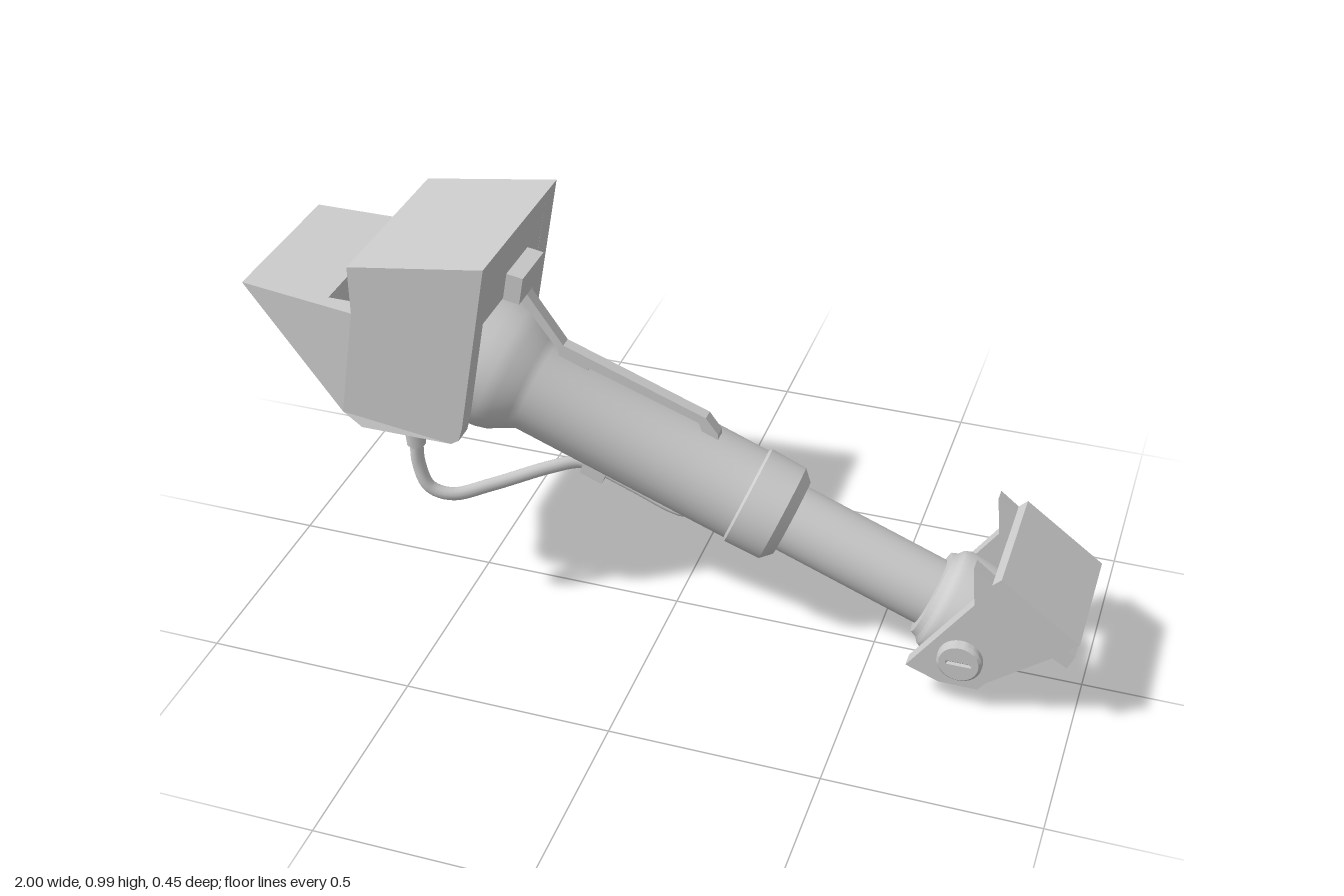
import * as THREE from 'three';
import { toCreasedNormals } from 'three/addons/utils/BufferGeometryUtils.js';

const material = new THREE.MeshStandardMaterial({ color: 0xcccccc });
const PIN = new THREE.Vector3(0.735, 0.15, 0);
const TILT = 1.1955; // lean of the piston axis, turned from +y towards -x

function add(parent, name, geometry) {
  const mesh = new THREE.Mesh(geometry, material);
  mesh.name = name;
  parent.add(mesh);
  return mesh;
}

// Side profile in x, y extruded from z0 to z1
function slab(points, z0, z1) {
  const shape = new THREE.Shape(points.map(([x, y]) => new THREE.Vector2(x, y)));
  return new THREE.ExtrudeGeometry(shape, { depth: z1 - z0, bevelEnabled: false }).translate(0, 0, z0);
}

// Profile of [radius, distance along the axis from the pin]
function turned(points) {
  const lathe = new THREE.LatheGeometry(points.map(([r, s]) => new THREE.Vector2(r, s)), 40);
  return toCreasedNormals(lathe, 0.5).rotateZ(TILT).translate(PIN.x, PIN.y, PIN.z);
}

function hose(points, radius) {
  const curve = new THREE.CatmullRomCurve3(points.map((p) => new THREE.Vector3(...p)));
  return new THREE.TubeGeometry(curve, 48, radius, 12, false);
}

function createUpperBracket() {
  const group = new THREE.Group();
  group.name = 'upperBracket';
  const side = [[-1, 0.83], [-0.7, 0.83], [-0.7, 0.95], [-0.37, 1], [-0.445, 0.57],
    [-0.455, 0.535], [-0.475, 0.522], [-0.7, 0.522], [-0.75, 0.55]];
  add(group, 'rightCheek', slab(side, -0.225, -0.16));

  // The front cheek thins towards the tip
  const front = slab(side, 0.175, 0.225);
  const pos = front.attributes.position;
  for (let i = 0; i < pos.count; i++) {
    if (pos.getZ(i) > 0.2) pos.setZ(i, 0.225 - 0.05 * Math.max(0, (-0.7 - pos.getX(i)) / 0.3));
  }
  front.computeVertexNormals();
  add(group, 'frontCheek', front);

  add(group, 'topBlock', slab([[-0.7, 0.83], [-0.4, 0.83], [-0.37, 1], [-0.7, 0.95]], -0.16, 0.175));
  add(group, 'tipWedge', slab([[-1, 0.83], [-0.78, 0.584], [-0.78, 0.83]], -0.16, 0.175));
  return group;
}

function createPiston() {
  const group = new THREE.Group();
  group.name = 'piston';
  add(group, 'barrel', turned([[0, 0.6], [0.115, 0.6], [0.117, 1.16], [0.127, 1.18], [0.15, 1.22],
    [0.158, 1.25], [0.16, 1.29], [0.16, 1.49], [0.15, 1.52], [0.125, 1.535], [0, 1.54]]));
  add(group, 'collar', turned([[0, 0.485], [0.095, 0.485], [0.12, 0.51], [0.122, 0.6], [0.115, 0.606], [0, 0.606]]));
  add(group, 'rod', turned([[0.083, 0.08], [0.083, 0.5]]));
  add(group, 'rodEnd', turned([[0, -0.125], [0.05, -0.12], [0.09, -0.108], [0.118, -0.088], [0.123, -0.05],
    [0.128, 0.075], [0.122, 0.09], [0.11, 0.1], [0.104, 0.115], [0.083, 0.118]]));
  return group;
}

function createLowerBracket() {
  const group = new THREE.Group();
  group.name = 'lowerBracket';
  const cheek = [[0.746, 0.41], [0.79, 0.375], [0.81, 0.395], [0.997, 0.257], [0.97, 0.235], [0.99, 0.22],
    [0.975, 0.185], [0.94, 0.205], [0.8, 0.095], [0.78, 0.07], [0.69, 0.07], [0.61, 0.1], [0.755, 0.31]];
  add(group, 'frontCheek', slab(cheek, 0.13, 0.167));
  add(group, 'rearCheek', slab(cheek, -0.147, -0.115));
  add(group, 'coverPanel', slab([[0.81, 0.395], [0.997, 0.257], [0.97, 0.235], [0.99, 0.22], [0.975, 0.185],
    [0.94, 0.205], [0.925, 0.25], [0.805, 0.34], [0.79, 0.375]], -0.115, 0.13));

  // Pivot with a slotted head at each end
  add(group, 'pivotPin', new THREE.CylinderGeometry(0.05, 0.05, 0.32, 32).rotateX(Math.PI / 2)
    .translate(PIN.x, PIN.y, 0.01));
  const headShape = new THREE.Shape().absarc(0, 0, 0.046, 0, Math.PI * 2);
  const slot = [[-0.03, -0.005], [-0.03, 0.005], [0.03, 0.005], [0.03, -0.005]];
  headShape.holes.push(new THREE.Path(slot.map(([x, y]) => new THREE.Vector2(x, y))));
  for (const [name, z] of [['frontPinHead', 0.167], ['rearPinHead', -0.147]]) {
    const head = new THREE.ExtrudeGeometry(headShape, {
      depth: 0.014, curveSegments: 24, bevelThickness: 0.007, bevelSize: 0.007, bevelOffset: 0, bevelSegments: 1,
    });
    const mesh = add(group, name, toCreasedNormals(head, 0.5));
    mesh.position.set(PIN.x, PIN.y, z);
    if (z < 0) mesh.rotation.y = Math.PI;
  }
  return group;
}

function createFittings() {
  const group = new THREE.Group();
  group.name = 'fittings';
  // Bent strip along the top of the barrel and its clip
  add(group, 'topStrip', slab([[-0.37, 0.845], [-0.272, 0.705], [0.075, 0.575], [0.105, 0.535], [0.105, 0.51],
    [0.07, 0.525], [0.058, 0.558], [-0.21, 0.655], [-0.22, 0.63], [-0.285, 0.655], [-0.285, 0.69], [-0.39, 0.83]],
  -0.015, 0.015));
  const clip = add(group, 'stripClip', new THREE.BoxGeometry(0.04, 0.07, 0.13));
  clip.position.set(-0.368, 0.868, 0.005);
  clip.rotation.z = -0.17;

  // Hose from the front cheek round to the underside of the barrel
  add(group, 'hoseNut', new THREE.CylinderGeometry(0.025, 0.022, 0.04, 6).translate(-0.575, 0.504, 0.2));
  add(group, 'hose', hose([[-0.575, 0.5, 0.2], [-0.573, 0.43, 0.2], [-0.55, 0.37, 0.2], [-0.5, 0.348, 0.185],
    [-0.42, 0.356, 0.13], [-0.3, 0.38, 0.05], [-0.24, 0.382, 0.01], [-0.19, 0.37, 0]], 0.016));
  const block = add(group, 'hoseBlock', new THREE.BoxGeometry(0.06, 0.055, 0.05));
  block.position.set(-0.2, 0.375, 0);
  block.rotation.z = -0.375;
  add(group, 'lowerPipe', hose([[-0.19, 0.362, 0], [-0.1, 0.326, 0], [-0.01, 0.29, 0], [0.02, 0.288, 0],
    [0.04, 0.32, 0]], 0.013));
  return group;
}

export function createModel() {
  const model = new THREE.Group();
  model.name = 'hydraulicStrut';
  model.add(createUpperBracket(), createPiston(), createLowerBracket(), createFittings());
  return model;
}
